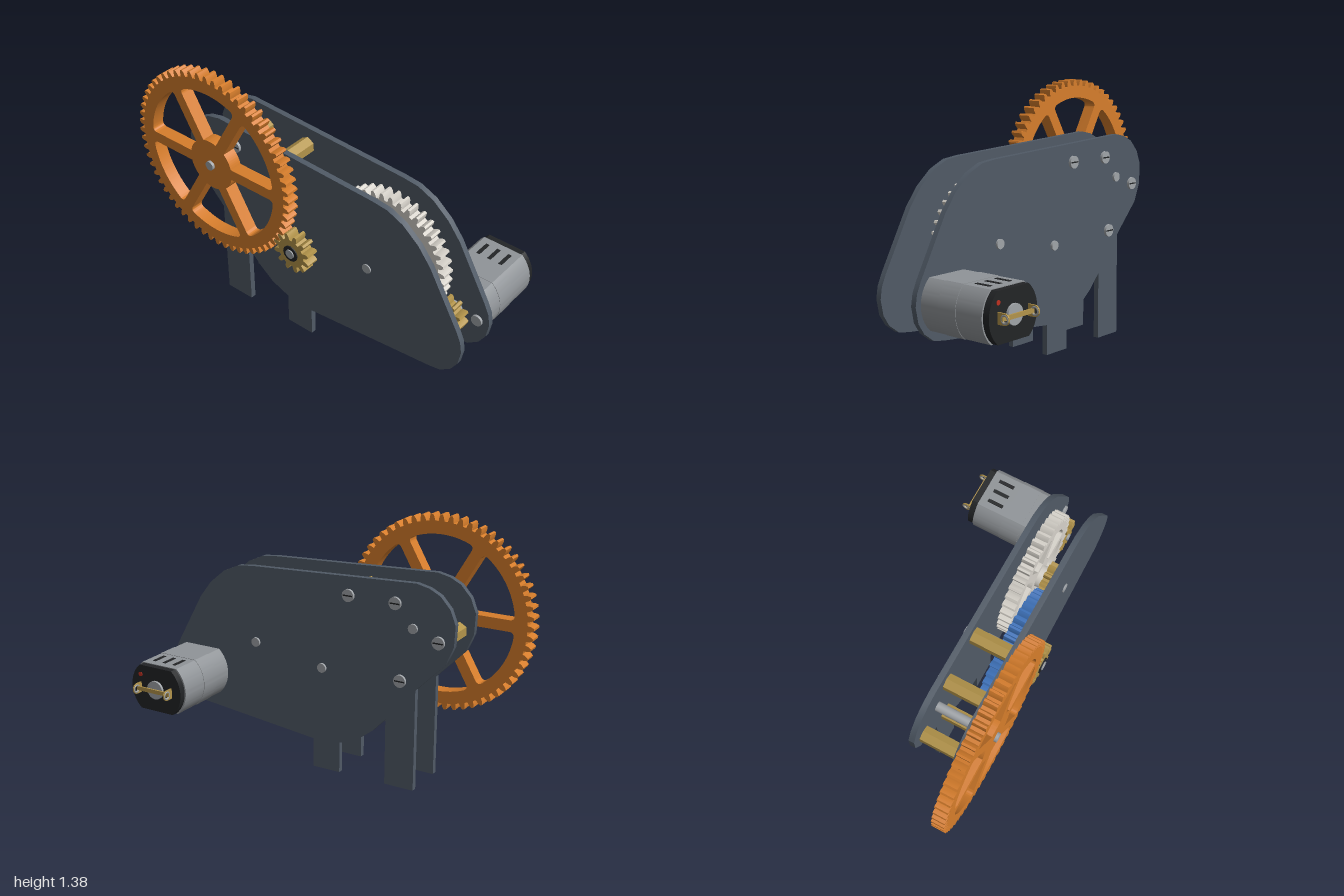
import * as THREE from 'three';
import { toCreasedNormals } from 'three/addons/utils/BufferGeometryUtils.js';

const mat = (color) => new THREE.MeshStandardMaterial({ color });
const PLATE = mat(0x505a66), ORANGE = mat(0xd67d2b), BRASS = mat(0xb3944a), BLUE = mat(0x3f74bd);
const WHITE = mat(0xd6d2ca), STEEL = mat(0xa0a4a8), MOTOR = mat(0x909498), BLACK = mat(0x222426), RED = mat(0xc03020);
const MODULE = 0.0167; // tooth size shared by every gear

export function createModel() {
  const model = new THREE.Group();

  const add = (name, geo, material, x = 0, y = 0, z = 0, parent = model) => {
    const mesh = new THREE.Mesh(geo, material);
    mesh.name = name;
    mesh.position.set(x, y, z);
    parent.add(mesh);
    return mesh;
  };
  // Cylinder along z between z0 and z1
  const rod = (name, r, x, y, z0, z1, material, sides = 28, parent = model) => {
    const geo = new THREE.CylinderGeometry(r, r, z1 - z0, sides).rotateX(Math.PI / 2);
    return add(name, sides < 8 ? geo.toNonIndexed() : geo, material, x, y, (z0 + z1) / 2, parent);
  };
  const box = (name, w, h, d, x, y, z, material, parent = model) =>
    add(name, new THREE.BoxGeometry(w, h, d), material, x, y, z, parent);
  const extrude = (shape, depth) =>
    toCreasedNormals(new THREE.ExtrudeGeometry(shape, { depth, bevelEnabled: false, curveSegments: 16 }), 0.4);

  // Side plates, each with two feet
  const outline = [
    [-0.5, 1.1], [-0.57, 1.085], [-0.63, 1.055], [-0.685, 0.995], [-0.715, 0.92], [-0.71, 0.81], [-0.67, 0.715],
    [-0.51, 0.55], [-0.51, 0], [-0.345, 0], [-0.345, 0.36], [-0.27, 0.28], [-0.18, 0.21], [-0.075, 0.17],
    [-0.075, 0], [0.085, 0], [0.085, 0.16], [0.82, 0.238], [0.89, 0.25], [0.95, 0.295], [0.985, 0.35],
    [1, 0.43], [0.99, 0.49], [0.965, 0.545], [0.8, 0.84], [0.73, 0.93], [0.64, 1.005], [0.55, 1.045], [0.46, 1.055],
  ].map(([x, y]) => new THREE.Vector2(x, y));
  const plateGeo = extrude(new THREE.Shape(outline), 0.03);
  add('frontPlate', plateGeo, PLATE, 0, 0, 0.295);
  add('backPlate', plateGeo, PLATE, 0, 0, 0.06);

  // Spur gear; phase is the angle of one tooth, spokes is optional
  const gear = (name, teeth, x, y, z0, z1, material, phase, spokes) => {
    const pitch = (teeth * MODULE) / 2;
    const tip = pitch + MODULE * 0.82, root = pitch - MODULE * 1.2;
    const step = (Math.PI * 2) / teeth;
    const profile = [[-0.32, root], [-0.24, pitch], [-0.11, tip], [0.11, tip], [0.24, pitch], [0.32, root]];
    const pts = [];
    for (let i = 0; i < teeth; i++) {
      for (const [f, r] of profile) {
        const a = phase + (i + f) * step;
        pts.push(new THREE.Vector2(r * Math.cos(a), r * Math.sin(a)));
      }
    }
    const shape = new THREE.Shape(pts);
    if (spokes) {
      const { hub, rim, half } = spokes;
      // Windows between six parallel-sided spokes, rounded at the rim
      for (let i = 0; i < 6; i++) {
        const start = (i * Math.PI) / 3, end = start + Math.PI / 3;
        const a = Math.asin(half / hub), b = Math.asin(half / rim), f = 0.07;
        const at = (r, t) => [r * Math.cos(t), r * Math.sin(t)];
        const hole = new THREE.Path();
        hole.moveTo(...at(hub, start + a));
        hole.lineTo(...at(rim * 0.93, start + Math.asin(half / (rim * 0.93))));
        hole.quadraticCurveTo(...at(rim, start + b), ...at(rim, start + b + f));
        hole.absarc(0, 0, rim, start + b + f, end - b - f, false);
        hole.quadraticCurveTo(...at(rim, end - b), ...at(rim * 0.93, end - Math.asin(half / (rim * 0.93))));
        hole.lineTo(...at(hub, end - a));
        hole.absarc(0, 0, hub, end - a, start + a, true);
        shape.holes.push(hole);
      }
    }
    add(name, extrude(shape, z1 - z0), material, x, y, z0);
  };

  // Shaft centres
  const out = [-0.49, 0.87], mid = [0.03, 0.57], first = [0.44, 0.64], drive = [0.8, 0.43];
  // A big gear and its pinion, with a tooth meeting a gap on the line between them
  const pair = (bigName, bigTeeth, big, smallName, smallTeeth, small, z0, z1, color, spokes) => {
    const a = Math.atan2(small[1] - big[1], small[0] - big[0]);
    gear(bigName, bigTeeth, ...big, z0, z1, color, a, spokes);
    gear(smallName, smallTeeth, ...small, z0, z1, BRASS, a + Math.PI + Math.PI / smallTeeth);
  };
  pair('outputGear', 60, out, 'outputPinion', 12, mid, 0.34, 0.41, ORANGE, { hub: 0.14, rim: 0.415, half: 0.03 });
  pair('middleGear', 40, mid, 'middlePinion', 10, first, 0.21, 0.28, BLUE, { hub: 0.1, rim: 0.265, half: 0.025 });
  pair('firstGear', 40, first, 'motorPinion', 10, drive, 0.11, 0.18, WHITE, { hub: 0.1, rim: 0.265, half: 0.025 });

  // Gear hubs
  rod('outputHub', 0.075, ...out, 0.326, 0.341, ORANGE);
  rod('middleHub', 0.06, ...mid, 0.19, 0.211, BLUE);
  rod('firstHub', 0.06, ...first, 0.179, 0.211, WHITE);

  // Shafts and retaining clip
  rod('outputShaft', 0.025, ...out, 0.048, 0.425, STEEL);
  rod('middleShaft', 0.025, ...mid, 0.048, 0.422, STEEL);
  rod('firstShaft', 0.025, ...first, 0.048, 0.332, STEEL);
  rod('motorShaft', 0.02, ...drive, 0.05, 0.19, STEEL);
  rod('retainingClip', 0.045, ...mid, 0.409, 0.416, BLACK, 12);

  // Hexagonal standoffs with slotted screws at both ends
  for (const [x, y] of [[-0.125, 0.985], [-0.39, 0.985], [-0.63, 0.82], [-0.425, 0.585]]) {
    const standoff = rod('standoff', 0.044, x, y, 0.09, 0.295, BRASS, 6);
    standoff.geometry.computeVertexNormals();
    for (const [z0, z1, face] of [[0.325, 0.339, 0.339], [0.046, 0.06, 0.046]]) {
      rod('screwHead', 0.033, x, y, z0, z1, STEEL);
      box('screwSlot', 0.054, 0.007, 0.002, x, y, face, BLACK);
    }
  }

  // Motor, built around its own axis
  const motor = new THREE.Group();
  motor.name = 'motor';
  motor.position.set(drive[0], drive[1], 0);
  model.add(motor);
  // Round can with flat top and bottom
  const flatRound = (r, h) => {
    const a = Math.asin(h / r);
    const shape = new THREE.Shape();
    shape.absarc(0, 0, r, -a, a, false);
    shape.absarc(0, 0, r, Math.PI - a, Math.PI + a, false);
    shape.closePath();
    return shape;
  };
  add('motorCan', extrude(flatRound(0.168, 0.126), 0.38), MOTOR, 0, 0, -0.32, motor);
  add('motorBand', extrude(flatRound(0.17, 0.128), 0.11), MOTOR, 0, 0, -0.16, motor);
  add('motorCap', extrude(flatRound(0.16, 0.122), 0.036), BLACK, 0, 0, -0.355, motor);
  rod('motorBoss', 0.05, 0, 0, 0.06, 0.1, STEEL, 28, motor);
  rod('rearBearing', 0.05, 0, 0, -0.368, -0.35, STEEL, 28, motor);
  box('brushBar', 0.21, 0.022, 0.009, 0, 0, -0.381, BRASS, motor);
  rod('polarityDot', 0.012, 0.1, 0.07, -0.358, -0.352, RED, 12, motor);
  for (const s of [-1, 1]) {
    // Solder tabs with an eyelet
    const tab = new THREE.Shape();
    tab.moveTo(-0.07, -0.028);
    tab.lineTo(-0.012, -0.028);
    tab.absarc(-0.008, 0, 0.028, -Math.PI / 2, Math.PI / 2, false);
    tab.lineTo(-0.07, 0.028);
    tab.closePath();
    const eye = new THREE.Path();
    eye.absarc(-0.005, 0, 0.014, 0, Math.PI * 2, true);
    tab.holes.push(eye);
    const mesh = add('terminal', extrude(tab, 0.008), BRASS, s * 0.1 - 0.004, 0, -0.4, motor);
    mesh.rotation.y = Math.PI / 2;
    const eyelet = add('eyelet', new THREE.TorusGeometry(0.019, 0.006, 8, 20), STEEL, s * 0.1, 0, -0.395, motor);
    eyelet.rotation.y = Math.PI / 2;
    // Mounting screws and vent slots
    rod('mountScrew', 0.03, s * 0.133, 0, 0.09, 0.103, STEEL, 20, motor);
    for (const x of [-0.065, 0, 0.065]) {
      box('ventSlot', 0.02, 0.004, 0.09, x, s * 0.126, -0.235, BLACK, motor);
    }
  }
  return model;
}
